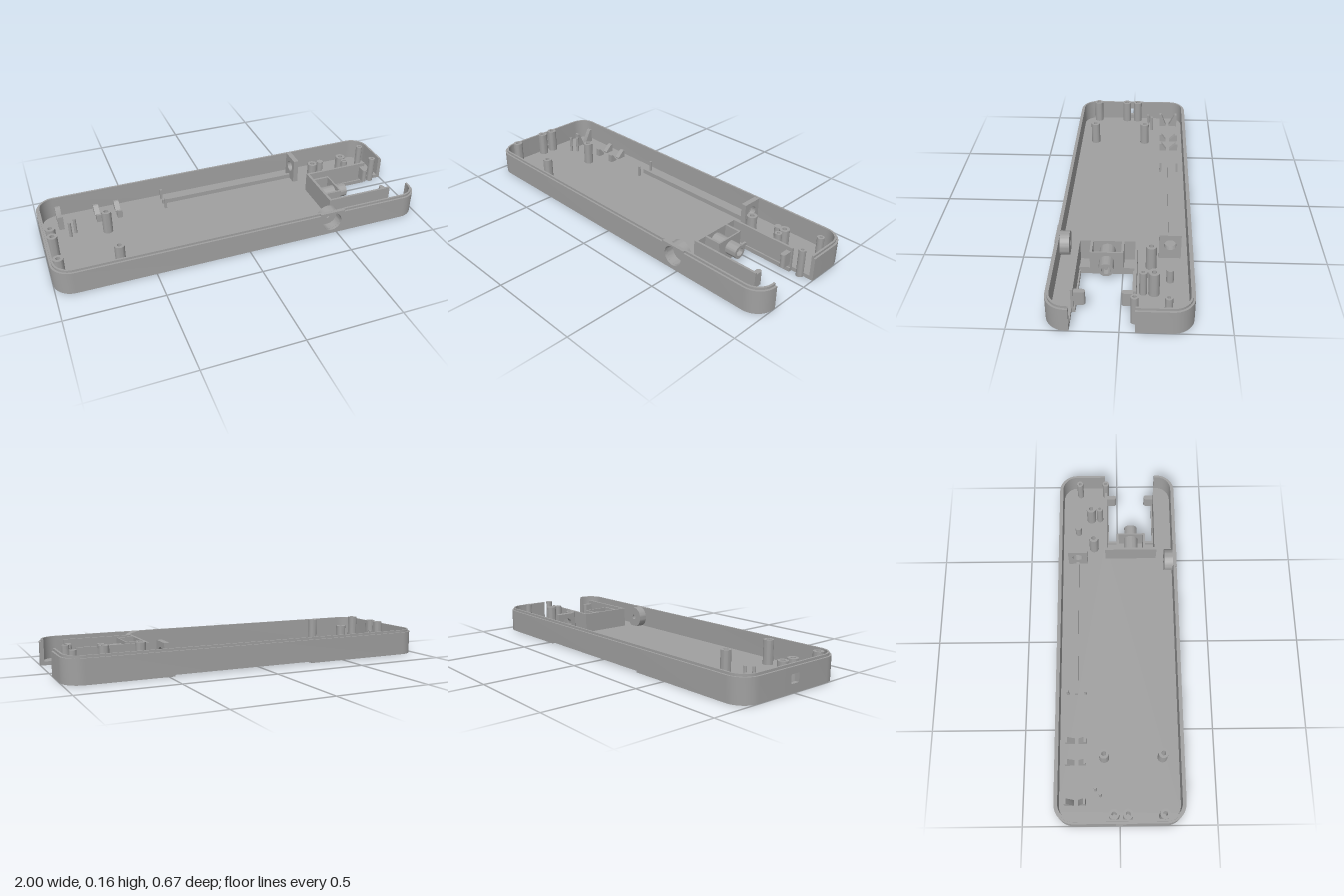
import * as THREE from 'three';
import { toCreasedNormals } from 'three/addons/utils/BufferGeometryUtils.js';

const HX = 1, HZ = 0.333, R = 0.1;      // half length, half width, corner radius
const FLOOR = 0.02, RIM = 0.124, LIP = 0.136, POST = 0.147;

export function createModel() {
  const group = new THREE.Group();
  const plastic = new THREE.MeshStandardMaterial({ color: 0xa0a0a0 });
  plastic.name = 'greyPlastic';

  const add = (name, geo) => {
    const mesh = new THREE.Mesh(geo, plastic);
    mesh.name = name;
    group.add(mesh);
    return mesh;
  };
  const box = (name, x0, x1, y0, y1, z0, z1) =>
    add(name, new THREE.BoxGeometry(x1 - x0, y1 - y0, z1 - z0)
      .translate((x0 + x1) / 2, (y0 + y1) / 2, (z0 + z1) / 2));

  // Extrudes a shape and keeps its rounded sides smooth
  const extrude = (shape, depth) => toCreasedNormals(
    new THREE.ExtrudeGeometry(shape, { depth, bevelEnabled: false, curveSegments: 24 }), 0.5);
  // Shape drawn in x and z, standing between two heights
  const slab = (name, points, y0, y1) =>
    add(name, extrude(new THREE.Shape(points), y1 - y0).rotateX(Math.PI / 2).translate(0, y1, 0));
  const disc = (r, hole) => {
    const s = new THREE.Shape().absarc(0, 0, r, 0, Math.PI * 2);
    if (hole) s.holes.push(new THREE.Path().absarc(0, 0, hole, 0, Math.PI * 2, true));
    return s;
  };
  const post = (name, x, z, r, hole, top, y0 = FLOOR - 0.005) =>
    add(name, extrude(disc(r, hole), top - y0).rotateX(-Math.PI / 2).translate(x, y0, z));

  // Outline inset by d: a number is a rounded corner, a pair is a point
  const outline = (d, items) => items.flatMap((it) => {
    if (Array.isArray(it)) {
      return [new THREE.Vector2(
        THREE.MathUtils.clamp(it[0], -HX + d, HX - d), THREE.MathUtils.clamp(it[1], -HZ + d, HZ - d))];
    }
    const sx = it === 0 || it === 3 ? 1 : -1, sz = it < 2 ? 1 : -1;
    return Array.from({ length: 11 }, (_, i) => {
      const a = (it + i / 10) * Math.PI / 2;
      return new THREE.Vector2(sx * (HX - R) + (R - d) * Math.cos(a), sz * (HZ - R) + (R - d) * Math.sin(a));
    });
  });

  // Floor with the end bay cut out, and an underside recess for a sliding cover
  const bay = [[HX, -0.07], [0.61, -0.07], [0.61, 0.22], [HX, 0.22]];
  slab('floor', outline(0.01, [0, 1, 2, 3, ...bay]), 0.008, FLOOR);
  slab('underside', outline(0, [0, 1, 2,
    [-0.3, -HZ], [-0.3, 0.2], [0.47, 0.2], [0.47, -HZ], 3, ...bay]), 0, 0.008);

  // Side walls in three runs, each with a thinner lip on top
  const runs = [
    [[HX, 0.22], 0, [0.54, HZ]],
    [[0.4, HZ], 1, [-HX, 0.06]],
    [[-HX, -0.05], 2, 3, [HX, -0.07]],
  ];
  for (const run of runs) {
    const band = (a, b) => [...outline(a, run), ...outline(b, run).reverse()];
    slab('wall', band(0, 0.02), 0.008, RIM);
    slab('lip', band(0.01, 0.02), RIM, LIP);
  }

  // Front panel with a round socket opening
  const panel = new THREE.Shape([[0.4, 0.008], [0.54, 0.008], [0.54, LIP - 0.002], [0.4, LIP - 0.002]]
    .map((p) => new THREE.Vector2(...p)));
  panel.holes.push(new THREE.Path().absarc(0.47, 0.074, 0.053, 0, Math.PI * 2, true));
  add('socketPanel', extrude(panel, 0.02).translate(0, 0, HZ - 0.02));
  add('socketCup', extrude(disc(0.06, 0.053), 0.05).translate(0.47, 0.075, 0.268));
  add('socketEnd', extrude(disc(0.06, 0.014), 0.01).translate(0.47, 0.075, 0.266));

  // Slot in the left-hand end wall
  box('slotSill', -HX, -0.98, 0.008, 0.045, -0.05, 0.06);
  box('slotHead', -HX, -0.98, 0.09, RIM, -0.05, 0.06);
  box('slotLip', -0.99, -0.98, RIM, LIP, -0.05, 0.06);
  box('slotSide', -HX, -0.98, 0.045, 0.09, -0.05, -0.022);
  box('slotSide', -HX, -0.98, 0.045, 0.09, 0.032, 0.06);

  // Bay walls, ledges and cells around the connector
  box('bayBackWall', 0.508, 0.522, FLOOR, 0.13, -0.07, 0.222);
  box('baySideWall', 0.51, 0.88, 0, 0.13, -0.07, -0.058);
  box('baySideWall', 0.51, 0.88, 0, 0.13, 0.21, 0.222);
  box('bayLedge', 0.6, 0.88, 0, 0.022, -0.06, -0.05);
  box('bayLedge', 0.6, 0.88, 0, 0.022, 0.202, 0.212);
  for (const z of [0.002, 0.152]) box('cellDivider', 0.52, 0.61, FLOOR, 0.13, z - 0.006, z + 0.006);
  for (const [z0, z1] of [[-0.06, 0], [0.152, 0.212]]) {
    box('cellSill', 0.598, 0.61, FLOOR, 0.037, z0, z1);
  }
  const face = new THREE.Shape([[0, 0.008], [0.15, 0.008], [0.15, 0.13], [0, 0.13]]
    .map((p) => new THREE.Vector2(...p)));
  face.holes.push(new THREE.Path().absarc(0.075, 0.075, 0.036, 0, Math.PI * 2, true));
  add('connectorPlate', extrude(face, 0.008).rotateY(Math.PI / 2).translate(0.604, 0, 0.152));

  // Barrel connector along x
  const barrel = (name, x0, x1, r, hole) =>
    add(name, extrude(disc(r, hole), x1 - x0).rotateY(Math.PI / 2).translate(x0, 0.075, 0.077));
  barrel('connectorBody', 0.52, 0.61, 0.039, 0.01);
  barrel('connectorBarrel', 0.6, 0.675, 0.036, 0.022);
  barrel('connectorPin', 0.56, 0.66, 0.01, 0);

  // Rounded clips reaching into the bay from both sides
  for (const [root, dir] of [[-0.06, 1], [0.212, -1]]) {
    const tip = root + dir * 0.042;
    box('bayClip', 0.847, 0.873, 0.037, 0.11, Math.min(root, tip), Math.max(root, tip));
    post('clipTip', 0.86, tip, 0.013, 0, 0.11, 0.037);
  }

  // Screw posts
  for (const [x, z] of [[-0.955, -0.03], [-0.955, 0.04], [-0.955, 0.225],
    [-0.655, 0.225], [-0.655, -0.08], [0.575, -0.135], [0.765, -0.15]]) {
    post('screwPost', x, z, 0.026, 0.012, POST);
  }
  for (const [x, z] of [[0.765, -0.1], [0.93, -0.215], [0.93, -0.065]]) {
    post('smallPost', x, z, 0.018, 0.008, POST, z > -0.07 ? 0 : 0.015);
  }
  post('shortPost', 0.675, -0.225, 0.018, 0, 0.09);
  for (const [x, z] of [[-0.85, -0.1], [-0.82, -0.125]]) post('pin', x, z, 0.008, 0, 0.11);
  for (const z of [-0.275, -0.18]) box('guidePin', -0.311, -0.299, 0.015, 0.08, z - 0.006, z + 0.006);

  // Long rail ending in an upright plate with a round opening
  box('rail', -0.311, 0.476, 0.015, 0.045, -0.237, -0.221);
  const stop = new THREE.Shape([[0.172, 0.015], [0.28, 0.015], [0.28, 0.157], [0.172, 0.157]]
    .map((p) => new THREE.Vector2(...p)));
  stop.holes.push(new THREE.Path().absarc(0.226, 0.1, 0.03, 0, Math.PI * 2, true));
  add('railStop', extrude(stop, 0.028).rotateY(Math.PI / 2).translate(0.476, 0, 0));

  // Sloped cradle ribs near the rear wall
  const rib = (x, zHigh, zLow, h) => add('cradleRib', extrude(new THREE.Shape([
    [-zHigh, 0.015], [-zHigh, h], [-zHigh + (zLow > zHigh ? -0.012 : 0.012), h], [-zLow, 0.028], [-zLow, 0.015],
  ].map((p) => new THREE.Vector2(...p))), 0.028).rotateY(Math.PI / 2).translate(x - 0.014, 0, 0));
  for (const [x, h] of [[-0.885, 0.1], [-0.68, 0.065], [-0.565, 0.065]]) {
    rib(x, -0.285, -0.235, h);
    rib(x, -0.175, -0.215, h);
  }
  return group;
}
